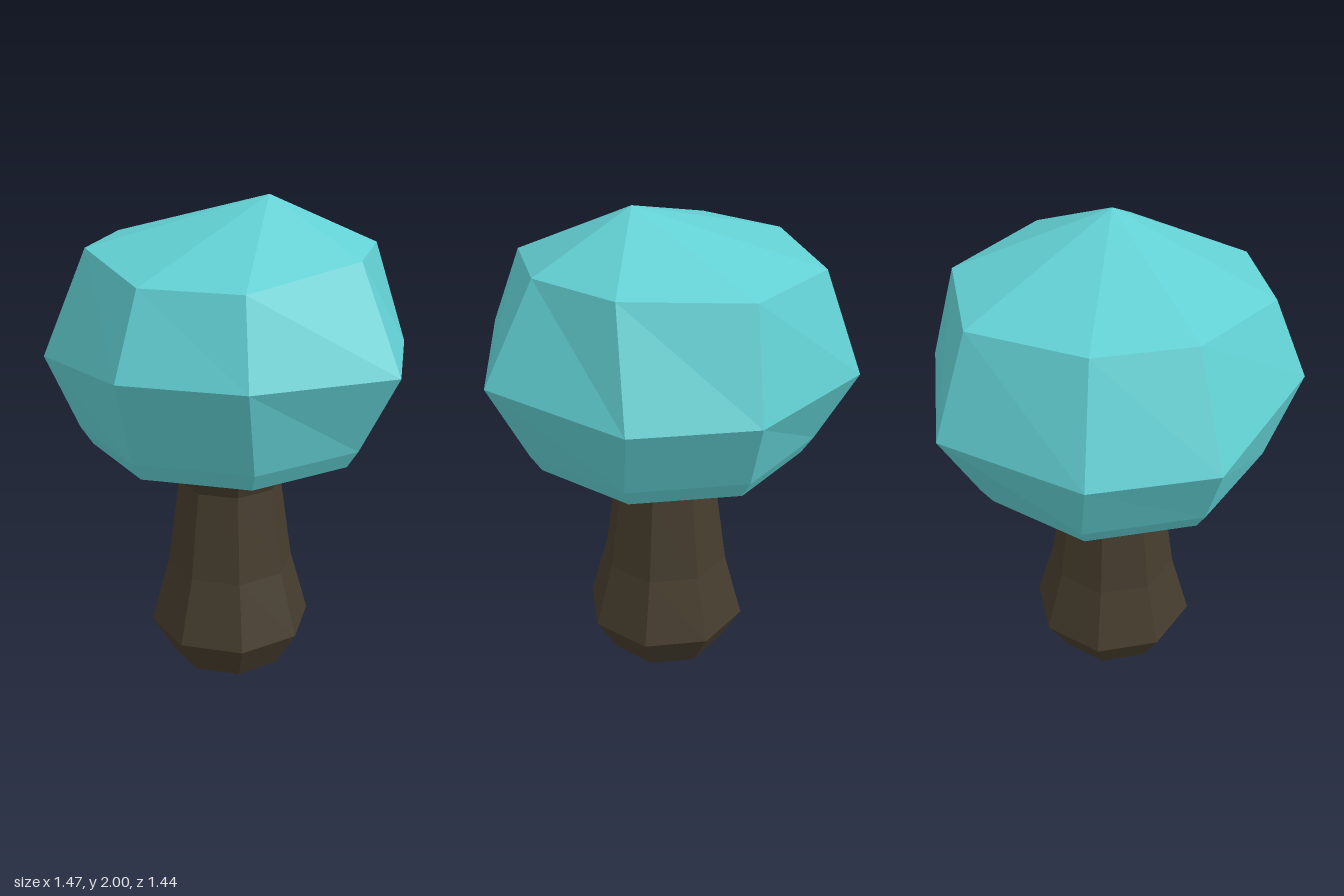
import * as THREE from 'three';

const SIDES = 8;

// Regular ring of points, starting at the front (+z) and turning towards +x
function ring(radius, y, cx = -0.02, cz = 0) {
  return Array.from({ length: SIDES }, (_, i) => {
    const a = (i / SIDES) * Math.PI * 2;
    return [cx + radius * Math.sin(a), y, cz + radius * Math.cos(a)];
  });
}

// A ring collapsed to one point, used to close an end
const tip = (x, y, z) => Array.from({ length: SIDES }, () => [x, y, z]);

// Faceted skin through rings listed from top to bottom
function loft(name, rings, color) {
  const pos = [];
  const tri = (a, b, c) => {
    if (a !== b && b.join() !== c.join() && a.join() !== c.join()) pos.push(...a, ...b, ...c);
  };
  for (let r = 0; r < rings.length - 1; r++) {
    const up = rings[r], low = rings[r + 1];
    for (let i = 0; i < SIDES; i++) {
      const j = (i + 1) % SIDES;
      tri(up[i], low[i], low[j]);
      tri(up[i], low[j], up[j]);
    }
  }
  const geo = new THREE.BufferGeometry();
  geo.setAttribute('position', new THREE.Float32BufferAttribute(pos, 3));
  geo.computeVertexNormals();
  const mesh = new THREE.Mesh(geo, new THREE.MeshStandardMaterial({ color, flatShading: true }));
  mesh.name = name;
  return mesh;
}

export function createModel() {
  const group = new THREE.Group();
  group.name = 'mushroom';

  // Cap: uneven crown and widest ring, then a regular rolled rim and hollow underside
  const crown = [
    [0.025, 1.75, 0.59], [0.38, 1.75, 0.45], [0.54, 1.8, -0.03], [0.4, 1.8, -0.38],
    [-0.02, 1.785, -0.6], [-0.44, 1.78, -0.43], [-0.56, 1.8, 0.025], [-0.42, 1.8, 0.37],
  ];
  const widest = [
    [0.025, 1.44, 0.72], [0.46, 1.44, 0.54], [0.735, 1.41, 0], [0.46, 1.38, -0.54],
    [0.025, 1.38, -0.72], [-0.55, 1.38, -0.53], [-0.735, 1.38, 0.04], [-0.56, 1.38, 0.48],
  ];
  group.add(loft('cap', [
    tip(0.14, 2, -0.03), crown, widest,
    ring(0.595, 1.095), ring(0.548, 1.022), ring(0.455, 0.985),
    ring(0.25, 1.04), tip(-0.02, 1.05, 0),
  ], 0x62d0d3));

  // Stem: flared top, narrow neck, bulbous foot
  group.add(loft('stem', [
    tip(-0.02, 1.05, 0), ring(0.275, 1.04), ring(0.21, 0.84), ring(0.26, 0.48),
    ring(0.335, 0.21), ring(0.24, 0.05), tip(-0.02, 0, 0),
  ], 0x453c2d));

  return group;
}
